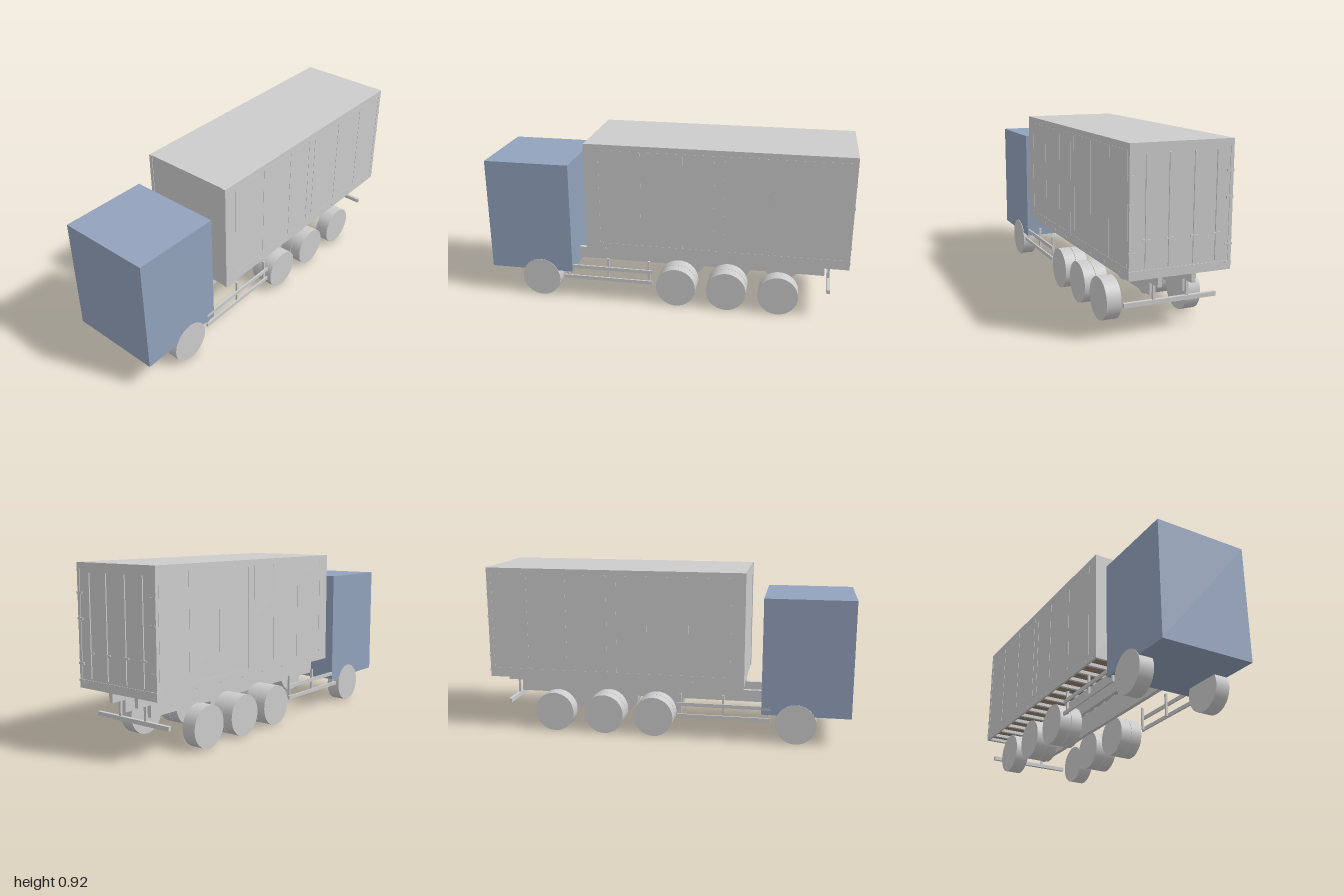
import * as THREE from 'three';

const material = (name, color) => {
  const m = new THREE.MeshStandardMaterial({ color });
  m.name = name;
  return m;
};

export function createModel() {
  const grey = material('light grey', 0xcccccc);
  const blue = material('cab blue', 0x92a2bc);
  const wood = material('floor brown', 0x9c8570);
  const model = new THREE.Group();
  model.name = 'boxTruck';

  const group = (name) => {
    const g = new THREE.Group();
    g.name = name;
    model.add(g);
    return g;
  };
  // Box given by its limits on each axis
  const box = (parent, name, mat, x0, x1, y0, y1, z0, z1) => {
    const m = new THREE.Mesh(new THREE.BoxGeometry(Math.abs(x1 - x0), y1 - y0, Math.abs(z1 - z0)), mat);
    m.position.set((x0 + x1) / 2, (y0 + y1) / 2, (z0 + z1) / 2);
    m.name = name;
    parent.add(m);
    return m;
  };

  // Cab
  box(model, 'cab', blue, -0.253, 0.253, 0.157, 0.787, 0.525, 1.0);

  // Cargo body with a recessed underside
  const cargo = group('cargoBody');
  box(cargo, 'cargoBox', grey, -0.262, 0.262, 0.325, 0.917, -0.994, 0.428);
  box(cargo, 'floorUnderside', wood, -0.25, 0.25, 0.32, 0.326, -0.98, 0.415);
  box(cargo, 'frontSill', grey, -0.262, 0.262, 0.302, 0.325, 0.413, 0.428);
  box(cargo, 'rearSill', grey, -0.262, 0.262, 0.302, 0.325, -0.994, -0.975);
  for (let i = 0; i < 13; i++) {
    const z = -0.9 + i * 0.102;
    box(cargo, 'floorCrossBeam', grey, -0.25, 0.25, 0.302, 0.32, z - 0.008, z + 0.008);
  }

  // Side walls: sills, panel ribs, edge strips and lashing hooks
  const ribs = [0.354, 0.125, -0.103, -0.27, -0.324, -0.553, -0.774, -0.975];
  for (const s of [-1, 1]) {
    box(cargo, 'sideSill', grey, s * 0.25, s * 0.262, 0.302, 0.325, -0.994, 0.428);
    for (const z of ribs) {
      box(cargo, 'sideRib', grey, s * 0.26, s * 0.2635, 0.355, 0.885, z - 0.004, z + 0.004);
    }
    for (const y of [0.353, 0.885]) {
      box(cargo, 'sideStrip', grey, s * 0.26, s * 0.263, y - 0.002, y + 0.002, -0.975, 0.354);
    }
    for (let i = 0; i < 8; i++) {
      const z = -0.9 + i * 0.175;
      box(cargo, 'lashingHook', grey, s * 0.26, s * 0.264, 0.318, 0.326, z - 0.005, z + 0.005);
    }
    box(cargo, 'frontCornerPost', grey, s * 0.243, s * 0.262, 0.302, 0.917, 0.427, 0.431);
  }

  // Rear frame, doors, locking bars and hinges
  const rear = group('rearDoors');
  box(rear, 'doorHeader', grey, -0.262, 0.262, 0.885, 0.917, -0.997, -0.993);
  box(rear, 'doorThreshold', grey, -0.262, 0.262, 0.302, 0.345, -0.997, -0.993);
  for (const s of [-1, 1]) {
    box(rear, 'doorPost', grey, s * 0.245, s * 0.262, 0.345, 0.885, -0.997, -0.993);
    for (const x of [0.063, 0.179]) {
      box(rear, 'lockingBar', grey, s * x - 0.004, s * x + 0.004, 0.355, 0.87, -1.0, -0.993);
      box(rear, 'lockHandle', grey, s * x - 0.022, s * x + 0.018, 0.478, 0.486, -1.0, -0.994);
    }
    for (const y of [0.77, 0.645, 0.425, 0.34]) {
      box(rear, 'doorHinge', grey, s * 0.228, s * 0.264, y - 0.006, y + 0.006, -1.0, -0.99);
    }
  }

  // Stepped chassis rails: profile points are [z, y]
  const chassis = group('chassis');
  const profile = [[0.53, 0.18], [0.53, 0.245], [0.417, 0.245], [0.417, 0.305],
    [-0.96, 0.305], [-0.96, 0.243], [-0.877, 0.243], [-0.877, 0.18]];
  const railShape = new THREE.Shape(profile.map(([z, y]) => new THREE.Vector2(-z, y)));
  const railGeometry = new THREE.ExtrudeGeometry(railShape, { depth: 0.022, bevelEnabled: false });
  railGeometry.rotateY(Math.PI / 2);
  for (const x of [-0.1, 0.076]) {
    const rail = new THREE.Mesh(railGeometry, grey);
    rail.position.x = x;
    rail.name = 'chassisRail';
    chassis.add(rail);
  }

  // Rear underrun bar
  box(chassis, 'rearBumper', grey, -0.243, 0.243, 0.145, 0.167, -0.909, -0.89);
  for (const s of [-1, 1]) {
    box(chassis, 'bumperPost', grey, s * 0.08, s * 0.094, 0.16, 0.25, -0.905, -0.893);
  }

  // Side guards
  const guards = group('sideGuards');
  for (const s of [-1, 1]) {
    for (const y of [0.126, 0.191]) {
      box(guards, 'guardRail', grey, s * 0.244, s * 0.253, y - 0.01, y + 0.01, 0.065, 0.575);
    }
    for (const [z, top] of [[0.555, 0.19], [0.318, 0.25], [0.085, 0.25]]) {
      box(guards, 'guardPost', grey, s * 0.232, s * 0.244, 0.12, top, z - 0.006, z + 0.006);
    }
  }

  // Wheels: single at the front and last axle, twin on the middle two
  const wheels = group('wheels');
  const wheel = (name, s, x0, x1, z) => {
    const m = new THREE.Mesh(new THREE.CylinderGeometry(0.11, 0.11, x1 - x0, 32), grey);
    m.rotation.z = Math.PI / 2;
    m.position.set(s * (x0 + x1) / 2, 0.11, z);
    m.name = name;
    wheels.add(m);
  };
  for (const s of [-1, 1]) {
    wheel('frontWheel', s, 0.178, 0.256, 0.71);
    wheel('rearWheel', s, 0.178, 0.256, -0.632);
    for (const z of [-0.068, -0.348]) {
      wheel('twinWheelInner', s, 0.126, 0.19, z);
      wheel('twinWheelOuter', s, 0.192, 0.256, z);
    }
  }
  return model;
}
